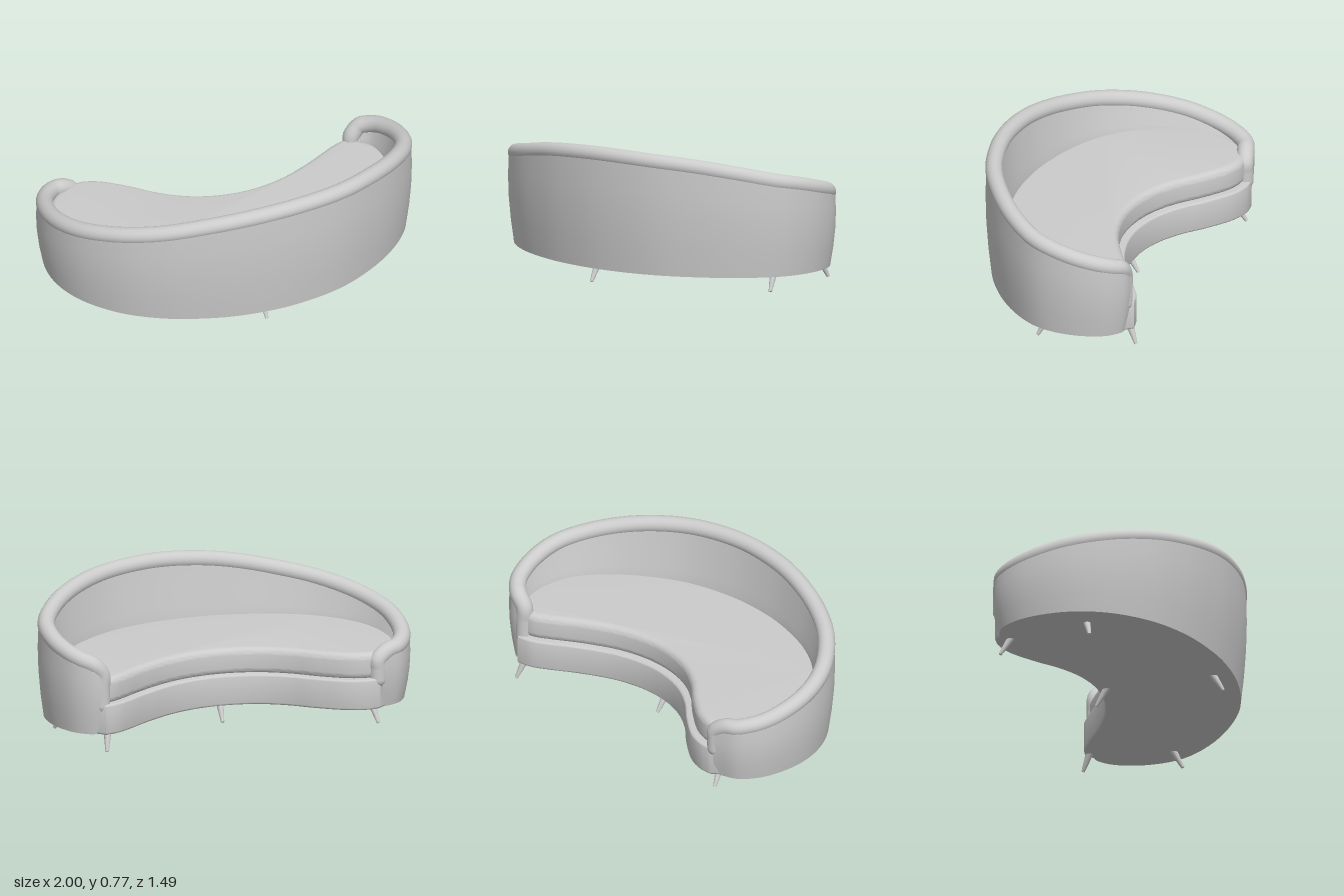
import * as THREE from 'three';
import { toCreasedNormals } from 'three/addons/utils/BufferGeometryUtils.js';

const V = (x, y, z) => new THREE.Vector3(x, y, z);
const FLOOR = 0.09, BASE_TOP = 0.26, SEAT = 0.4, RIM = 0.047;

// Back outline from one arm tip to the other; y is the height of the rim there
const backCurve = new THREE.CatmullRomCurve3([
  V(0.62, 0.5, -0.725), V(0.68, 0.525, -0.743), V(0.79, 0.555, -0.71), V(0.91, 0.595, -0.59),
  V(0.985, 0.635, -0.43), V(1, 0.658, -0.3), V(0.96, 0.698, -0.1), V(0.86, 0.735, 0.12),
  V(0.7, 0.757, 0.34), V(0.45, 0.765, 0.54), V(0.2, 0.75, 0.66), V(0, 0.725, 0.715),
  V(-0.25, 0.68, 0.742), V(-0.5, 0.635, 0.71), V(-0.75, 0.58, 0.59), V(-0.92, 0.53, 0.4),
  V(-1, 0.478, 0.15), V(-0.97, 0.453, -0.02), V(-0.87, 0.435, -0.125),
]);

// Concave front outline of the seat base
const frontCurve = new THREE.CatmullRomCurve3([
  V(-0.85, 0, -0.128), V(-0.79, 0, -0.162), V(-0.68, 0, -0.177), V(-0.5, 0, -0.145),
  V(-0.35, 0, -0.102), V(-0.2, 0, -0.086), V(-0.05, 0, -0.108), V(0.1, 0, -0.17),
  V(0.25, 0, -0.285), V(0.38, 0, -0.445), V(0.48, 0, -0.6), V(0.54, 0, -0.68), V(0.605, 0, -0.728),
]);

// Point on a curve moved inward in plan
function inset(curve, u, d) {
  const p = curve.getPointAt(u), t = curve.getTangentAt(u);
  const len = Math.hypot(t.x, t.z);
  return V(p.x - (t.z / len) * d, p.y, p.z + (t.x / len) * d);
}

// Kidney-shaped slab with rounded edges
function slab(backInset, frontInset, bottom, top, bevel, steps) {
  const pts = [];
  for (let i = 0; i <= 90; i++) pts.push(inset(backCurve, 0.02 + 0.96 * i / 90, backInset));
  for (let i = 0; i <= 70; i++) pts.push(inset(frontCurve, i / 70, frontInset));
  const shape = new THREE.Shape(pts.map(p => new THREE.Vector2(p.x, p.z)));
  const geo = new THREE.ExtrudeGeometry(shape, {
    depth: top - bottom - 2 * bevel, bevelThickness: bevel, bevelSize: bevel,
    bevelOffset: -bevel, bevelSegments: steps,
  });
  geo.rotateX(Math.PI / 2).translate(0, top - bevel, 0);
  return toCreasedNormals(geo, 0.6);
}

// Upholstered back: a cross-section swept along the back outline
function shellGeometry() {
  const N = 140, pos = [], idx = [];
  let M = 0;
  for (let i = 0; i <= N; i++) {
    const u = i / N, T = backCurve.getPointAt(u).y - RIM;
    const w = 0.085 + 0.042 * THREE.MathUtils.smoothstep(Math.min(u, 1 - u), 0, 0.15);
    const h = T - FLOOR, low = Math.min(SEAT - 0.02, T - 0.02);
    const section = [
      [0.033, FLOOR], [0.016, FLOOR + h * 0.25], [0.005, FLOOR + h * 0.5], [0.001, FLOOR + h * 0.75],
      [0.006, T], [w * 0.65, T], [w * 0.78, low + (T - low) * 0.6], [w * 0.92, low + (T - low) * 0.25],
      [w, low], [w, FLOOR],
    ];
    M = section.length;
    for (const [d, y] of section) {
      const p = inset(backCurve, u, d);
      pos.push(p.x, y, p.z);
    }
  }
  for (let i = 0; i < N; i++) {
    for (let j = 0; j < M; j++) {
      const k = (j + 1) % M, a = i * M + j, b = i * M + k, c = a + M, d = b + M;
      idx.push(a, b, c, b, d, c);
    }
  }
  for (let j = 1; j < M - 1; j++) {
    idx.push(0, j + 1, j, N * M, N * M + j, N * M + j + 1);
  }
  const geo = new THREE.BufferGeometry();
  geo.setAttribute('position', new THREE.Float32BufferAttribute(pos, 3));
  geo.setIndex(idx);
  return toCreasedNormals(geo, 0.6);
}

export function createModel() {
  const model = new THREE.Group();
  const grey = new THREE.MeshStandardMaterial({ color: 0xcccccc });
  const add = (name, geo, parent = model) => {
    const mesh = new THREE.Mesh(geo, grey);
    mesh.name = name;
    parent.add(mesh);
    return mesh;
  };

  add('seatBase', slab(0.05, 0, FLOOR, BASE_TOP, 0.012, 3));
  add('seatCushion', slab(0.07, 0.033, BASE_TOP - 0.01, SEAT, 0.04, 6));
  add('backShell', shellGeometry());

  // Padded rim that follows the back and rolls down the front of each arm
  const rim = new THREE.Group();
  rim.name = 'rim';
  model.add(rim);
  const path = [];
  for (let i = 0; i <= 48; i++) {
    const p = inset(backCurve, 0.015 + 0.97 * i / 48, RIM);
    path.push(V(p.x, p.y - RIM, p.z));
  }
  const tipPoints = u => {
    const p = inset(backCurve, u, RIM), top = p.y - RIM;
    return [V(p.x, top - 0.035, p.z), V(p.x, (top + BASE_TOP) / 2 - 0.01, p.z), V(p.x, BASE_TOP - 0.01, p.z)];
  };
  const startTip = tipPoints(0), endTip = tipPoints(1);
  const rimPath = new THREE.CatmullRomCurve3([...startTip.reverse(), ...path, ...endTip]);
  add('rimRoll', new THREE.TubeGeometry(rimPath, 260, RIM, 20), rim);
  for (const end of [rimPath.getPoint(0), rimPath.getPoint(1)]) {
    add('rimEnd', new THREE.SphereGeometry(RIM, 20, 14).translate(end.x, end.y, end.z), rim);
  }

  // Splayed tapered legs: [top x, top z, foot x, foot z]
  const legs = new THREE.Group();
  legs.name = 'legs';
  model.add(legs);
  for (const [tx, tz, fx, fz] of [
    [-0.8, -0.055, -0.84, -0.1], [0.025, -0.075, 0.005, -0.135], [0.6, -0.69, 0.6, -0.738],
    [0.87, -0.325, 0.91, -0.29], [0.27, 0.47, 0.3, 0.52], [-0.69, 0.39, -0.72, 0.435],
  ]) {
    const top = V(tx, FLOOR + 0.01, tz), foot = V(fx, 0.002, fz), axis = top.clone().sub(foot);
    const leg = add('leg', new THREE.CylinderGeometry(0.021, 0.009, axis.length(), 16), legs);
    leg.position.copy(top).add(foot).multiplyScalar(0.5);
    leg.quaternion.setFromUnitVectors(V(0, 1, 0), axis.normalize());
  }
  return model;
}
